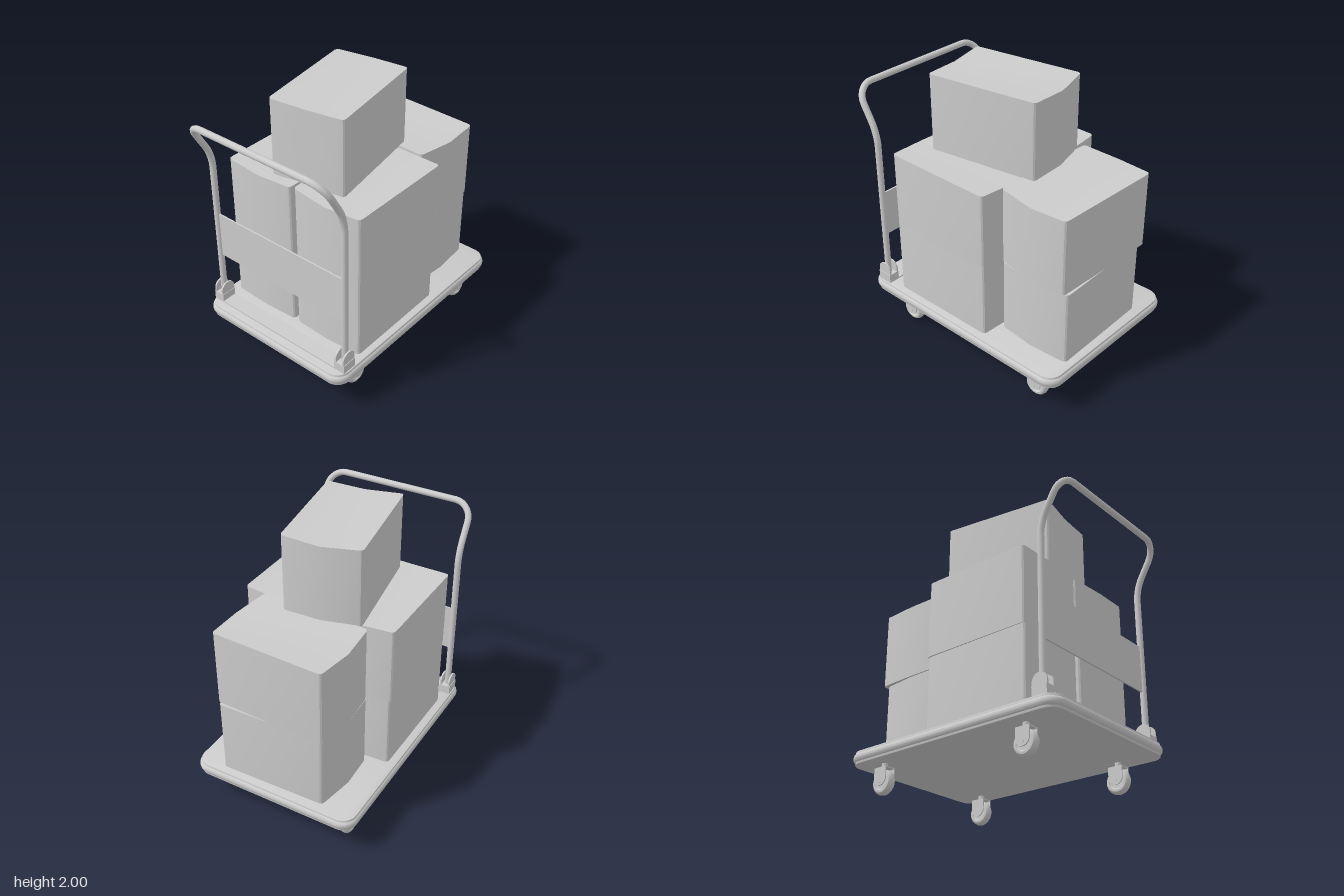
import * as THREE from 'three';
import { toCreasedNormals } from 'three/addons/utils/BufferGeometryUtils.js';

const material = new THREE.MeshStandardMaterial({ color: 0xcccccc, side: THREE.DoubleSide });

function add(parent, name, geometry, x = 0, y = 0, z = 0) {
  const mesh = new THREE.Mesh(geometry, material);
  mesh.name = name;
  mesh.position.set(x, y, z);
  parent.add(mesh);
  return mesh;
}

function roundedRect(w, h, r) {
  const s = new THREE.Shape(), x = w / 2, y = h / 2;
  s.absarc(x - r, y - r, r, 0, Math.PI / 2);
  s.absarc(-x + r, y - r, r, Math.PI / 2, Math.PI);
  s.absarc(-x + r, -y + r, r, Math.PI, Math.PI * 1.5);
  s.absarc(x - r, -y + r, r, Math.PI * 1.5, Math.PI * 2);
  s.closePath();
  return s;
}

// Flat slab with a rounded outline, lying from y0 up to y1; bevel rounds its rim
function slab(w, d, r, y0, y1, bevel) {
  const g = new THREE.ExtrudeGeometry(roundedRect(w - 2 * bevel, d - 2 * bevel, r - bevel), {
    depth: y1 - y0 - 2 * bevel, bevelEnabled: true, bevelSize: bevel,
    bevelThickness: bevel, bevelSegments: 5, curveSegments: 8,
  });
  g.rotateX(-Math.PI / 2);
  g.translate(0, y0 + bevel, 0);
  return toCreasedNormals(g, 0.6);
}

// Upright plate, flat side along x, with a rounded end at the top (dir 1) or bottom (dir -1)
function tongue(halfWidth, height, thickness, dir) {
  const w = halfWidth, s = new THREE.Shape();
  s.moveTo(-w, 0);
  s.lineTo(w, 0);
  s.lineTo(w, dir * (height - w));
  s.absarc(0, dir * (height - w), w, 0, dir * Math.PI, dir < 0);
  s.closePath();
  const g = new THREE.ExtrudeGeometry(s, { depth: thickness, bevelEnabled: false, curveSegments: 10 });
  g.translate(0, 0, -thickness / 2);
  return toCreasedNormals(g, 0.6);
}

// Slightly crushed carton. Plan corners are [x, z] at (u,v) = 00, 10, 11, 01;
// the middle fold across u sinks by dip and its two ends bulge outward.
function carton(corners, y0, y1, bulge0, bulge1, dip0, dip1) {
  const r = 0.025, rows = [];
  const [a, b, c, d] = corners.map(([x, z]) => new THREE.Vector2(x, z));
  const length = a.distanceTo(b), width = a.distanceTo(d);
  for (let i = 0; i <= 3; i++) {
    const t = (i / 3) * Math.PI / 2;
    rows.push([r * (1 - Math.cos(t)) / width, r * (1 - Math.sin(t)) / length]);
  }
  const profile = [...rows, [0.5, 0], ...rows.slice().reverse().map(([v, u]) => [1 - v, u])];
  const n = profile.length - 1;
  const g = new THREE.BoxGeometry(1, 1, 1, 1, 1, n);
  const p = g.attributes.position;
  for (let i = 0; i < p.count; i++) {
    const [v, inset] = profile[Math.round((p.getZ(i) + 0.5) * n)];
    const fold = 1 - Math.abs(2 * v - 1);
    const right = p.getX(i) > 0, top = p.getY(i) > 0;
    const u = right ? 1 - inset + fold * bulge1 / length : inset - fold * bulge0 / length;
    const near = a.clone().lerp(b, u), far = d.clone().lerp(c, u);
    const q = near.lerp(far, v);
    p.setXYZ(i, q.x, top ? y1 - fold * dip1 : y0 - fold * dip0, q.y);
  }
  return toCreasedNormals(g, 0.45);
}

// Path through points with every inner corner rounded off
function filletedPath(points, radii) {
  const path = new THREE.CurvePath();
  let from = points[0];
  for (let i = 1; i < points.length - 1; i++) {
    const p = points[i], r = radii[i - 1];
    const before = p.clone().add(points[i - 1].clone().sub(p).setLength(r));
    const after = p.clone().add(points[i + 1].clone().sub(p).setLength(r));
    const k = 0.45;
    path.add(new THREE.LineCurve3(from, before));
    path.add(new THREE.CubicBezierCurve3(before, before.clone().lerp(p, 1 - k), after.clone().lerp(p, 1 - k), after));
    from = after;
  }
  path.add(new THREE.LineCurve3(from, points[points.length - 1]));
  return path;
}

function makeCaster() {
  const caster = new THREE.Group();
  caster.name = 'caster';
  // Tyre with rounded tread
  const profile = [[0, -0.022], [0.05, -0.022], [0.06, -0.032], [0.075, -0.03], [0.086, -0.018], [0.09, 0],
    [0.086, 0.018], [0.075, 0.03], [0.06, 0.032], [0.05, 0.022], [0, 0.022]];
  const wheel = new THREE.LatheGeometry(profile.map(([x, y]) => new THREE.Vector2(x, y)), 18);
  wheel.rotateX(Math.PI / 2);
  add(caster, 'wheel', toCreasedNormals(wheel, 0.7), 0, 0.092, 0);
  for (const s of [-1, 1]) add(caster, 'forkPlate', tongue(0.055, 0.13, 0.008, -1), 0, 0.192, s * 0.039);
  add(caster, 'forkTop', new THREE.BoxGeometry(0.11, 0.008, 0.086), 0, 0.188, 0);
  add(caster, 'axle', new THREE.CylinderGeometry(0.012, 0.012, 0.09, 10).rotateX(Math.PI / 2), 0, 0.092, 0);
  add(caster, 'stem', new THREE.CylinderGeometry(0.022, 0.022, 0.05, 14), 0, 0.21, 0);
  return caster;
}

export function createModel() {
  const model = new THREE.Group();
  model.name = 'loadedPlatformCart';

  // Deck with a rounded bumper around it
  const cx = 0.034;
  add(model, 'deck', slab(1.765, 1.25, 0.1, 0.225, 0.318, 0.003), cx);
  add(model, 'bumper', slab(1.795, 1.28, 0.115, 0.238, 0.305, 0.03), cx);

  // Casters
  for (const x of [-0.543, 0.692]) for (const z of [-0.5, 0.5]) {
    const caster = makeCaster();
    caster.position.set(x, 0, z);
    model.add(caster);
  }

  // Bent tube handle
  const hx = -0.733, hz = 0.575;
  const side = [[hx, 0.33], [hx, 1.54], [-0.913, 1.848]];
  const pts = [...side.map(([x, y]) => new THREE.Vector3(x, y, hz)),
    ...side.slice().reverse().map(([x, y]) => new THREE.Vector3(x, y, -hz))];
  add(model, 'handle', new THREE.TubeGeometry(filletedPath(pts, [0.09, 0.13, 0.13, 0.09]), 140, 0.0235, 12));

  // Handle brackets, foot strip and cross panel
  for (const s of [-1, 1]) {
    add(model, 'bracketPlate', tongue(0.058, 0.155, 0.012, 1), hx, 0.316, s * 0.605);
    add(model, 'bracketPlate', tongue(0.058, 0.155, 0.012, 1), hx, 0.316, s * 0.54);
    add(model, 'bracketBlock', new THREE.BoxGeometry(0.116, 0.07, 0.085), hx, 0.35, s * 0.573);
  }
  add(model, 'footStrip', new THREE.BoxGeometry(0.116, 0.012, 1.1), hx, 0.322, 0);
  add(model, 'crossPanel', new THREE.BoxGeometry(0.012, 0.35, 1.13), hx, 0.89, 0);

  // Cartons: corners back-left, back-right, front-right, front-left for the long ones
  const boxes = [
    ['lowerBackCarton', [[-0.59, -0.57], [0.255, -0.565], [0.27, -0.01], [-0.59, -0.015]], 0.316, 0.87, 0.014, 0.01, 0, 0.01],
    ['lowerFrontCarton', [[-0.59, 0.015], [0.27, 0.015], [0.255, 0.57], [-0.585, 0.575]], 0.316, 0.87, 0.016, 0.01, 0, 0.01],
    ['upperBackCarton', [[-0.585, -0.575], [0.255, -0.575], [0.27, -0.01], [-0.59, -0.01]], 0.87, 1.44, 0.014, 0.008, 0.01, 0.012],
    ['upperFrontCarton', [[-0.575, 0.01], [0.272, 0.015], [0.258, 0.575], [-0.585, 0.575]], 0.87, 1.44, 0.022, 0.01, 0.01, 0.012],
    // Side cartons run along z, so their corners start at the back right
    ['lowerSideCarton', [[0.845, -0.375], [0.862, 0.42], [0.285, 0.415], [0.3, -0.41]], 0.316, 0.875, 0.03, 0.025, 0, 0.012],
    ['upperSideCarton', [[0.873, -0.395], [0.842, 0.44], [0.278, 0.41], [0.305, -0.41]], 0.88, 1.442, 0.025, 0.025, 0.012, 0.012],
    ['topCarton', [[-0.533, -0.222], [0.292, -0.358], [0.375, 0.2], [-0.448, 0.335]], 1.438, 2.0, -0.008, 0.03, 0.008, 0.012],
  ];
  for (const [name, ...spec] of boxes) add(model, name, carton(...spec));

  return model;
}
